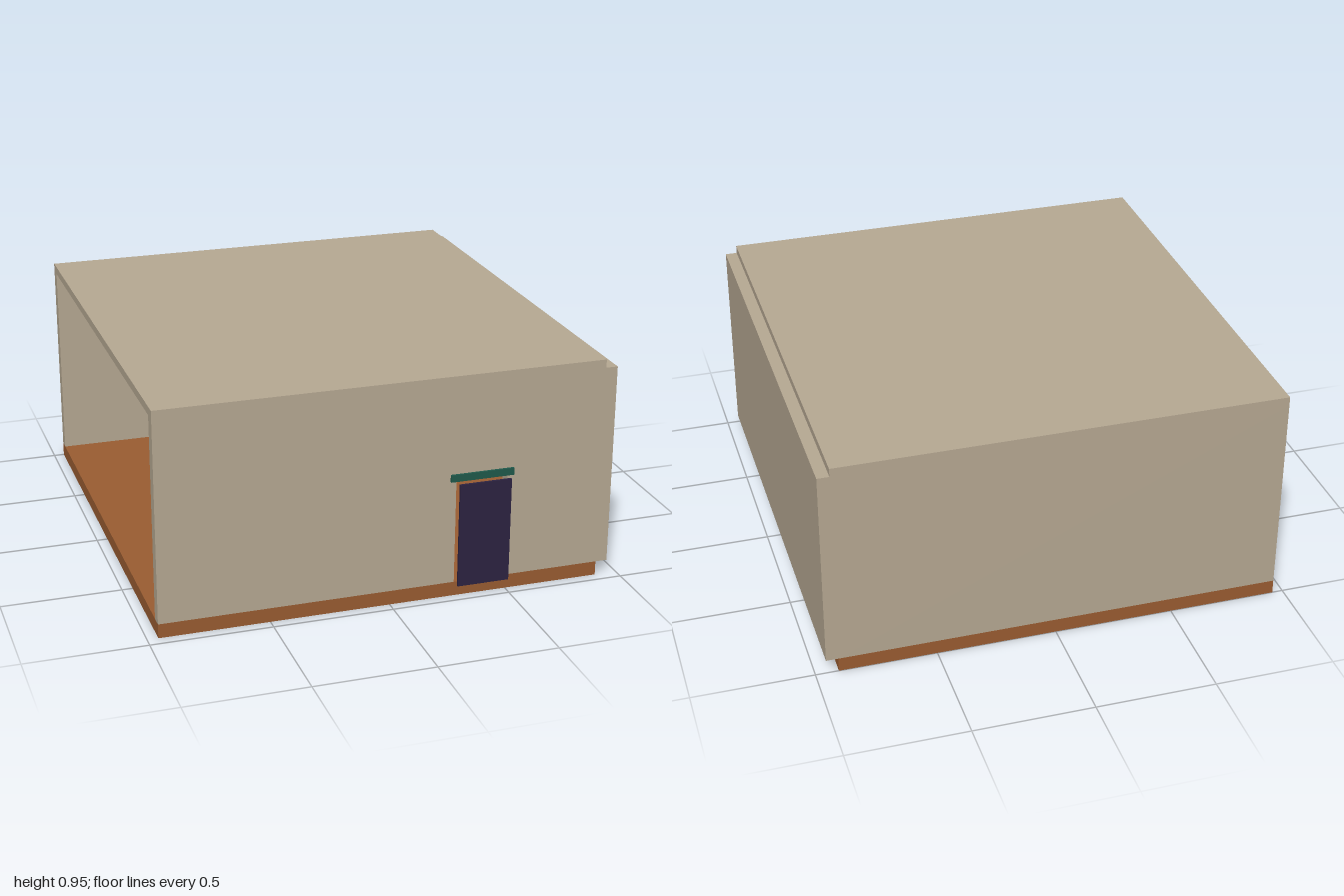
import * as THREE from 'three';

const material = (name, color) => {
  const m = new THREE.MeshStandardMaterial({ color });
  m.name = name;
  return m;
};

export function createModel() {
  const room = new THREE.Group();
  room.name = 'room';
  const plaster = material('beige plaster', 0xb8aa94);
  const wood = material('brown wood', 0x9b5d32);
  const teal = material('teal trim', 0x1f5a4c);
  const purple = material('dark purple door', 0x2d2342);

  // Box given by its low and high limits on each axis
  const box = (name, mat, [x0, x1], [y0, y1], [z0, z1]) => {
    const mesh = new THREE.Mesh(new THREE.BoxGeometry(x1 - x0, y1 - y0, z1 - z0), mat);
    mesh.position.set((x0 + x1) / 2, (y0 + y1) / 2, (z0 + z1) / 2);
    mesh.name = name;
    room.add(mesh);
  };

  const left = -0.955, right = 0.905, back = -1, front = 0.955;
  const floorTop = 0.06, ceiling = 0.915, top = 0.95, wall = 0.05;
  const door = [0.275, 0.495], doorTop = 0.505;

  // Shell, open on the -x side; the +x wall hangs outside the floor slab
  box('floor', wood, [left, right], [0, floorTop], [back, front]);
  box('roof', plaster, [left, right], [ceiling, top], [back, front]);
  box('sideWall', plaster, [right, 0.955], [floorTop, ceiling], [back, front]);
  box('backWall', plaster, [left, right], [floorTop, ceiling], [back, back + wall]);

  // Front wall with a doorway cut up from the floor
  const outline = new THREE.Shape([
    [left, floorTop], [door[0], floorTop], [door[0], doorTop], [door[1], doorTop],
    [door[1], floorTop], [right, floorTop], [right, ceiling], [left, ceiling],
  ].map(([x, y]) => new THREE.Vector2(x, y)));
  const frontWall = new THREE.Mesh(
    new THREE.ExtrudeGeometry(outline, { depth: wall, bevelEnabled: false }), plaster);
  frontWall.position.z = front - wall;
  frontWall.name = 'frontWall';
  room.add(frontWall);

  // Door panel standing clear of the wall, with a lintel above the doorway
  box('door', purple, door, [floorTop, doorTop], [0.99, 1]);
  box('lintel', teal, [0.25, 0.52], [doorTop, 0.535], [front, 0.965]);

  // Low strips running along the floor
  const inside = [back + wall, front - wall];
  box('tealFloorStrip', teal, [-0.245, -0.22], [floorTop, floorTop + 0.01], inside);
  for (const x of [0, 0.24]) {
    box('floorBatten', wood, [x, x + 0.012], [floorTop, floorTop + 0.006], inside);
  }
  return room;
}
